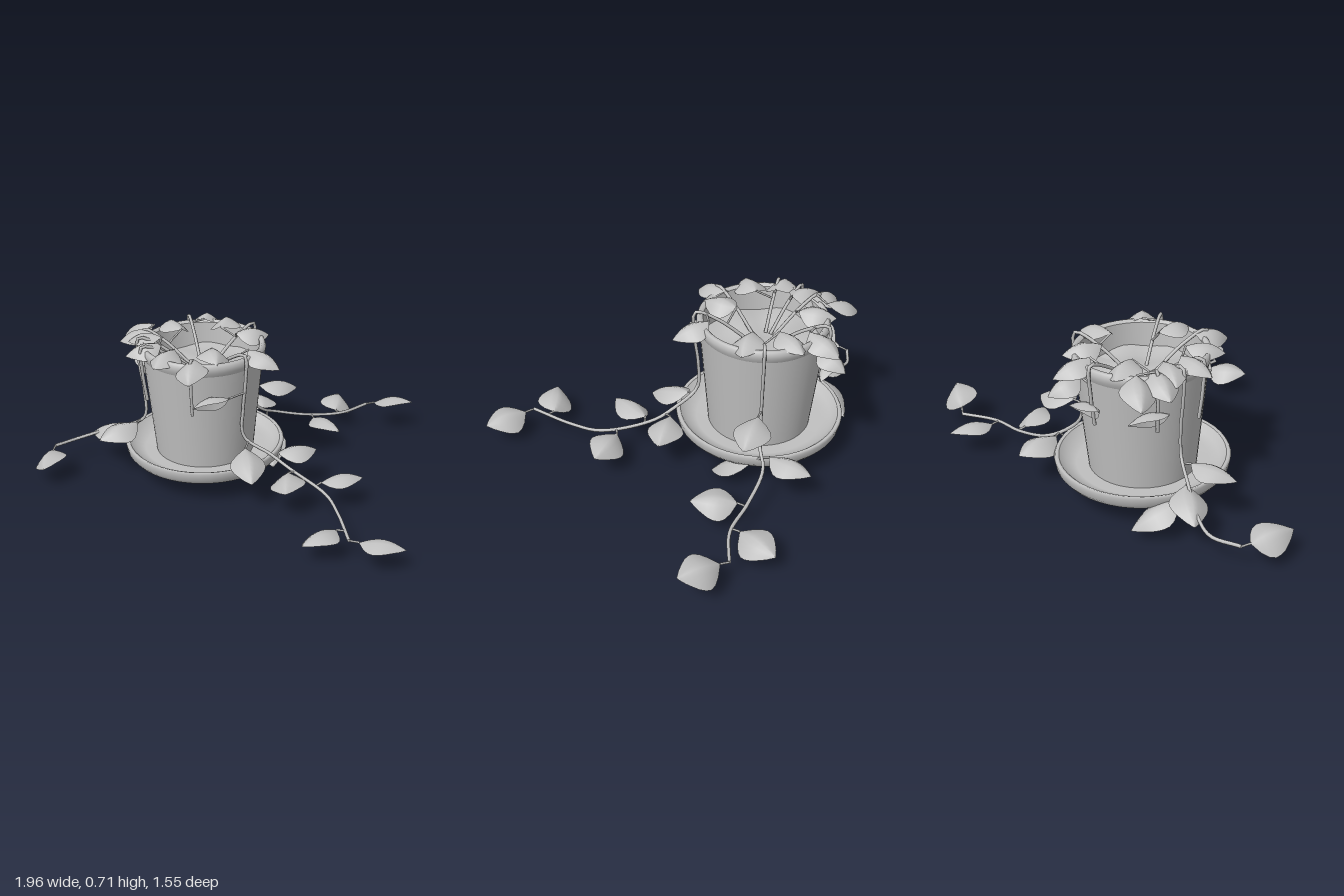
import * as THREE from 'three';

const CX = -0.145, CZ = -0.345; // pot axis
const rad = THREE.MathUtils.degToRad;

// Point at a heading (degrees, from +x towards +z) and radius around the pot axis
const polar = (deg, r, y) => new THREE.Vector3(CX + r * Math.cos(rad(deg)), y, CZ + r * Math.sin(rad(deg)));
// Step of a given length along a heading, falling by drop
const step = (deg, len, drop = 0) => new THREE.Vector3(len * Math.cos(rad(deg)), -drop, len * Math.sin(rad(deg)));

// Folded leaf: rounded diamond, ridge along the midrib, drooping sides
function leafGeometry(base, tip, roll, width) {
  const dir = tip.clone().sub(base), len = dir.length();
  dir.normalize();
  const side = dir.clone().cross(new THREE.Vector3(0, 1, 0)).normalize().applyAxisAngle(dir, -roll);
  const up = side.clone().cross(dir).normalize();
  const profile = [0.06, 0.55, 0.86, 1, 0.97, 0.84, 0.62, 0.36, 0.03];
  const rows = profile.length, cols = 7, pos = [], index = [];
  profile.forEach((w, i) => {
    const t = i / (rows - 1);
    for (let j = 0; j < cols; j++) {
      const u = (j / (cols - 1)) * 2 - 1;
      const lift = 0.03 * Math.sin(Math.PI * t) - 0.05 * w * Math.pow(Math.abs(u), 1.3);
      const p = base.clone().addScaledVector(dir, t * len)
        .addScaledVector(side, u * w * width / 2).addScaledVector(up, lift);
      pos.push(p.x, p.y, p.z);
      if (i < rows - 1 && j < cols - 1) {
        const a = i * cols + j, b = a + cols;
        index.push(a, a + 1, b, a + 1, b + 1, b);
      }
    }
  });
  const g = new THREE.BufferGeometry();
  g.setAttribute('position', new THREE.Float32BufferAttribute(pos, 3));
  g.setIndex(index);
  g.computeVertexNormals();
  return g;
}

export function createModel() {
  const model = new THREE.Group();
  model.name = 'trailingPottedPlant';
  const grey = new THREE.MeshStandardMaterial({ color: 0xc0c0c0, side: THREE.DoubleSide });
  grey.name = 'lightGrey';
  const add = (geometry, name, parent = model) => {
    const m = new THREE.Mesh(geometry, grey);
    m.name = name;
    parent.add(m);
  };

  // Each profile run is lathed on its own so the edges between runs stay sharp
  const lathe = (name, ...runs) => {
    const part = new THREE.Group();
    part.name = name;
    part.position.set(CX, 0, CZ);
    model.add(part);
    runs.forEach((r) => add(new THREE.LatheGeometry(r.map((p) => new THREE.Vector2(...p)), 48), name + 'Surface', part));
  };
  lathe('saucer',
    [[0, 0.06], [0.33, 0.06]],
    [[0.33, 0.06], [0.36, 0.068], [0.378, 0.09], [0.385, 0.125], [0.378, 0.135], [0.365, 0.13]],
    [[0.365, 0.13], [0.335, 0.1], [0.29, 0.085], [0, 0.085]]);
  lathe('pot',
    [[0, 0.086], [0.236, 0.086]],
    [[0.236, 0.086], [0.283, 0.57]],
    [[0.283, 0.57], [0.293, 0.59], [0.296, 0.61], [0.29, 0.628], [0.278, 0.632], [0.266, 0.62]],
    [[0.266, 0.62], [0.255, 0.48]]);

  // Gently uneven soil
  const soil = new THREE.RingGeometry(0.001, 0.26, 40, 6).rotateX(-Math.PI / 2);
  const sp = soil.attributes.position;
  for (let i = 0; i < sp.count; i++) {
    sp.setY(i, 0.012 * Math.sin(sp.getX(i) * 19) * Math.cos(sp.getZ(i) * 23));
  }
  soil.computeVertexNormals();
  soil.translate(CX, 0.51, CZ);
  add(soil, 'soil');

  const foliage = new THREE.Group();
  foliage.name = 'foliage';
  model.add(foliage);
  const samples = [];

  // Vine: climbs from the soil, crosses the rim at an angle, hangs, then trails over ground points [x, z]
  const climb = [[0.06, 0.5], [0.2, 0.61], [0.3, 0.65], [0.302, 0.52], [0.285, 0.38], [0.29, 0.24]];
  function addVine(name, angle, climbCount, ground = []) {
    const pts = climb.slice(0, climbCount).map(([r, y]) => polar(angle, r, y));
    ground.forEach(([x, z], i) => pts.push(new THREE.Vector3(x, Math.max(0.07, 0.17 - 0.045 * i), z)));
    const curve = new THREE.CatmullRomCurve3(pts);
    add(new THREE.TubeGeometry(curve, pts.length * 5, 0.008, 6), name, foliage);
    samples.push(...curve.getSpacedPoints(60));
    return (k) => curve.getPoint(k / (pts.length - 1));
  }

  // Leaf joined by a stalk to the nearest point of a vine
  function addLeaf(base, tip, roll, width) {
    add(leafGeometry(base, tip, roll, width), 'leaf', foliage);
    const near = samples.reduce((p, q) => (q.distanceTo(base) < p.distanceTo(base) ? q : p));
    const gap = near.distanceTo(base);
    if (gap > 0.012 && gap < 0.13) {
      add(new THREE.TubeGeometry(new THREE.LineCurve3(near, base), 1, 0.005, 5), 'leafStalk', foliage);
    }
  }

  // Leaves along a vine: [control point position, heading, roll, drop]
  const leavesAlong = (at, list) => list.forEach(([k, heading, roll, drop = 0]) => {
    const base = at(k).add(step(heading, 0.045, drop * 0.5));
    addLeaf(base, base.clone().add(step(heading, 0.2, drop)), roll, 0.165);
  });

  const front = addVine('frontVine', 62, 6, [[0.1, -0.02], [0.17, 0.05], [0.29, 0.25], [0.3, 0.4], [0.28, 0.625]]);
  const right = addVine('rightVine', -24, 6, [[0.18, -0.49], [0.26, -0.54], [0.44, -0.55], [0.62, -0.55], [0.78, -0.62]]);
  const left = addVine('leftVine', 192, 6, [[-0.53, -0.47], [-0.62, -0.53], [-0.73, -0.57], [-0.86, -0.53]]);
  [112, 170, 213, 268].forEach((angle) => addVine('shortVine', angle, 5));

  leavesAlong(front, [[5, 95, 0, 0.08], [6, -12, 0, 0.02], [7, 108, -0.2], [7.6, 0, 0.3], [9.5, 153, -0.3], [10, 31, 0.3]]);
  leavesAlong(right, [[4.3, -6, 0, 0.04], [6.2, -86, 0.1, 0.02], [6.3, 95, -0.2, 0.13],
    [8, 67, 0.3], [8.8, -69, -0.3], [10, 31, 0.4, -0.03]]);
  leavesAlong(left, [[5, 160, 0.15, 0.04], [5.5, 218, 0.2, 0.07], [6, -60, 0.1, 0.11], [9, 108, -0.4]]);

  // Crown of leaves around the rim: [angle, radius of leaf centre]; outer ones droop more
  [[46, 0.34], [83, 0.21], [112, 0.33], [146, 0.27], [173, 0.29], [198, 0.28], [214, 0.34],
    [229, 0.38], [240, 0.24], [283, 0.33], [312, 0.25], [354, 0.25]].forEach(([angle, r], i) => {
    const drop = 0.015 + Math.max(0, r - 0.22) * 0.4;
    const tilt = 0.2 * Math.sin(i * 2.1);
    addLeaf(polar(angle, r - 0.085, 0.645), polar(angle + 6 * Math.sin(i * 1.7), r + 0.08, 0.645 - drop), tilt, 0.15);
  });
  // Second leaf below the crown at the back
  addLeaf(polar(282, 0.3, 0.58), polar(284, 0.44, 0.52), 0.1, 0.14);

  // Leaves hanging flat against the pot wall
  [80, 205, 258].forEach((angle) => {
    const base = polar(angle, 0.315, 0.47);
    addLeaf(base, base.clone().add(step(angle + 98, 0.17, 0.03)), -0.75, 0.11);
  });
  return model;
}
